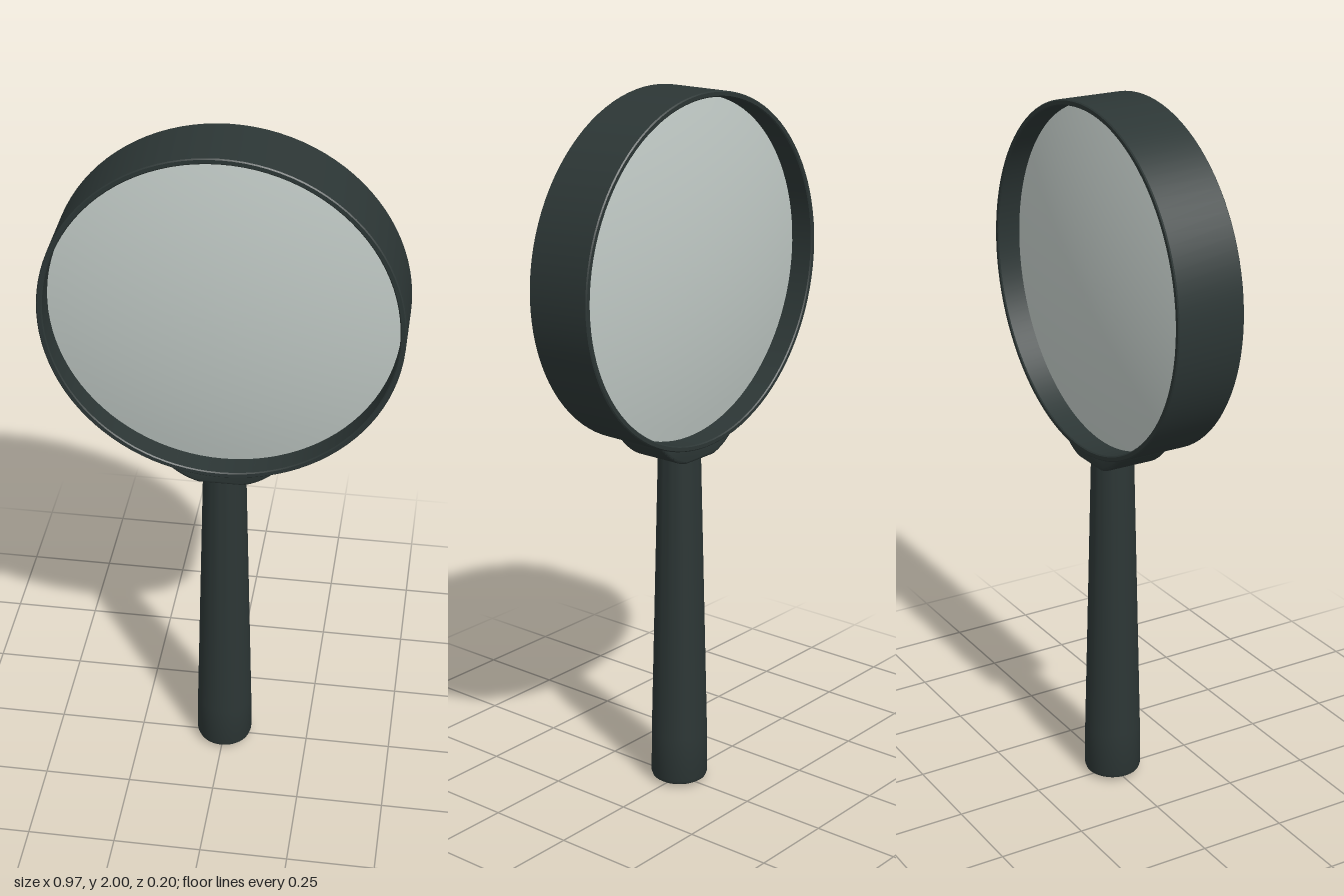
import * as THREE from 'three';
import { toCreasedNormals } from 'three/addons/utils/BufferGeometryUtils.js';

const CENTRE_Y = 1.515;

// Revolve a list of [radius, height] points, keeping hard edges sharp.
function lathe(points, segments) {
  const profile = points.map(([r, h]) => new THREE.Vector2(r, h));
  return toCreasedNormals(new THREE.LatheGeometry(profile, segments), 0.6);
}

export function createModel() {
  const model = new THREE.Group();
  model.name = 'magnifyingGlass';

  const darkCasing = new THREE.MeshStandardMaterial({ color: 0x2c3635 });
  darkCasing.name = 'darkCasing';
  const paleGlass = new THREE.MeshStandardMaterial({ color: 0xc0c9c5 });
  paleGlass.name = 'paleGlass';

  function add(name, geometry, material, y = 0) {
    const mesh = new THREE.Mesh(geometry, material);
    mesh.name = name;
    mesh.position.y = y;
    model.add(mesh);
    return mesh;
  }

  // Deep ring with slightly softened rims
  const outer = 0.485, inner = 0.469, half = 0.098, soft = 0.003;
  const rim = lathe([
    [inner, half - soft], [inner, -half + soft], [inner + soft, -half],
    [outer - soft, -half], [outer, -half + soft], [outer, half - soft],
    [outer - soft, half], [inner + soft, half], [inner, half - soft],
  ], 96);
  rim.rotateX(Math.PI / 2);
  add('rim', rim, darkCasing, CENTRE_Y);

  // Lens bulging on both faces, recessed at its edge
  const lensPoints = [];
  const steps = 12, lensRadius = 0.471, edge = 0.03, bulge = 0.05;
  const face = (r) => edge + bulge * (1 - (r / lensRadius) ** 2);
  for (let i = 0; i <= steps; i++) {
    const r = lensRadius * i / steps;
    lensPoints.push([r, -face(r)]);
  }
  for (let i = steps; i >= 0; i--) {
    const r = lensRadius * i / steps;
    lensPoints.push([r, face(r)]);
  }
  const lens = lathe(lensPoints, 96);
  lens.rotateX(Math.PI / 2);
  add('lens', lens, paleGlass, CENTRE_Y);

  // Bowl-shaped collar whose top follows the ring
  const bevel = 0.008, seat = 0.477, reach = 0.16;
  const seatY = CENTRE_Y - Math.sqrt(seat * seat - reach * reach);
  const angle = Math.asin(reach / seat);
  const shape = new THREE.Shape();
  shape.moveTo(-reach, seatY);
  shape.quadraticCurveTo(-0.115, 1.012, -0.06, 0.998);
  shape.lineTo(0.06, 0.998);
  shape.quadraticCurveTo(0.115, 1.012, reach, seatY);
  shape.absarc(0, CENTRE_Y, seat, -Math.PI / 2 + angle, -Math.PI / 2 - angle, true);
  const collar = new THREE.ExtrudeGeometry(shape, {
    depth: 0.134, bevelEnabled: true, bevelSize: bevel, bevelThickness: bevel,
    bevelSegments: 3, curveSegments: 20,
  });
  collar.translate(0, 0, -0.067);
  add('collar', toCreasedNormals(collar, 0.6), darkCasing);

  // Tapered handle with a rounded foot
  add('handle', lathe([
    [0, 0], [0.045, 0.002], [0.068, 0.007], [0.077, 0.013], [0.081, 0.024],
    [0.08, 0.15], [0.06, 0.99], [0.06, 1.02], [0, 1.02],
  ], 48), darkCasing);

  return model;
}
